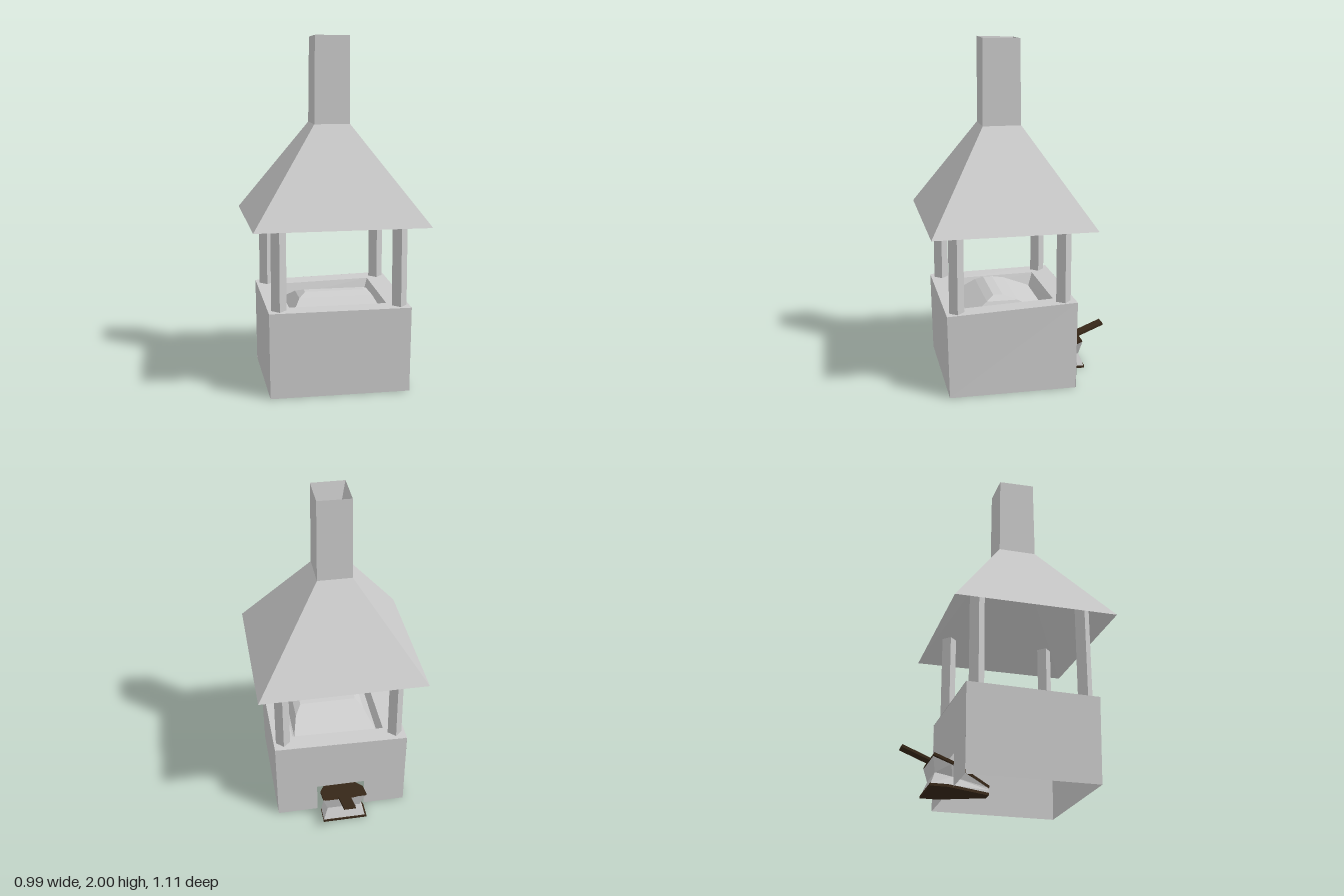
import * as THREE from 'three';

const grey = new THREE.MeshStandardMaterial({ color: 0xcccccc, flatShading: true, side: THREE.DoubleSide });
const wood = new THREE.MeshStandardMaterial({ color: 0x3a2a1a, flatShading: true, side: THREE.DoubleSide });

// Four corners: front left, front right, back right, back left (as seen from the front)
const rect = (x0, x1, zBack, zFront, yFront, yBackR = yFront, yBackL = yFront) => [
  [x0, yFront, zFront], [x1, yFront, zFront], [x1, yBackR, zBack], [x0, yBackL, zBack],
];

// Faceted skin through a list of rings with equal point counts
function loft(rings, closed = true) {
  const pos = [];
  for (let r = 0; r < rings.length - 1; r++) {
    const a = rings[r], b = rings[r + 1], n = a.length;
    for (let i = 0; i < (closed ? n : n - 1); i++) {
      const j = (i + 1) % n;
      pos.push(...a[i], ...a[j], ...b[j], ...a[i], ...b[j], ...b[i]);
    }
  }
  const geo = new THREE.BufferGeometry();
  geo.setAttribute('position', new THREE.Float32BufferAttribute(pos, 3));
  geo.computeVertexNormals();
  return geo;
}

const point = (x, y, z, n = 4) => Array.from({ length: n }, () => [x, y, z]);

function shapeOf(points) {
  return new THREE.Shape(points.map(([x, y]) => new THREE.Vector2(x, y)));
}

// Thin horizontal board; the outline's y runs towards the back
function board(points) {
  const geo = new THREE.ExtrudeGeometry(shapeOf(points), { depth: 0.015, bevelEnabled: false });
  return geo.rotateX(-Math.PI / 2);
}

export function createModel() {
  const group = new THREE.Group();
  const add = (name, geo, mat = grey, parent = group) => {
    const mesh = new THREE.Mesh(geo, mat);
    mesh.name = name;
    parent.add(mesh);
    return mesh;
  };

  // Hearth: three plain walls, open underneath
  const bottom = rect(-0.4, 0.395, -0.283, 0.455, 0);
  const top = rect(-0.405, 0.4, -0.288, 0.465, 0.49, 0.522, 0.502);
  const fromBack = ([fl, fr, br, bl]) => [bl, fl, fr, br];
  add('hearthWalls', loft([fromBack(bottom), fromBack(top)], false));

  // Back wall with a notch for the bellows
  add('hearthBackWall', new THREE.ShapeGeometry(shapeOf([
    [-0.4, 0], [-0.145, 0], [-0.145, 0.185], [0.15, 0.185],
    [0.15, 0], [0.395, 0], [0.4, 0.522], [-0.405, 0.502],
  ])).rotateY(0).translate(0, 0, -0.286));

  // Rim and sloping fire pit
  add('hearthRimAndPit', loft([
    top,
    rect(-0.28, 0.28, -0.17, 0.35, 0.492, 0.515, 0.5),
    rect(-0.25, 0.25, -0.14, 0.32, 0.42),
    point(0, 0.42, 0.09),
  ]));

  // Low heap of fuel with a flat ridge
  add('fuelHeap', loft([
    rect(-0.26, 0.27, -0.14, 0.32, 0.425),
    rect(-0.2, 0.23, 0.03, 0.21, 0.505),
    rect(-0.16, 0.19, 0.11, 0.165, 0.53),
    point(0.02, 0.53, 0.14),
  ]));

  // Corner posts, set diagonally
  for (const x of [-0.343, 0.343]) {
    for (const z of [-0.217, 0.402]) {
      const post = add('post', new THREE.CylinderGeometry(0.043, 0.043, 0.6, 4));
      post.position.set(x, 0.775, z);
    }
  }

  // Hood flowing into the chimney, with a funnel inside its mouth
  const mouth = rect(-0.105, 0.093, -0.014, 0.2, 2, 1.995, 1.993);
  const neck = rect(-0.11, 0.095, -0.02, 0.203, 1.505);
  add('hood', loft([rect(-0.495, 0.49, -0.38, 0.553, 0.958), neck]));
  add('chimney', loft([neck, mouth]));
  add('chimneyFunnel', loft([mouth, point(-0.008, 1.55, 0.11)]));

  // Bellows: two tapered boards and a pinched skin between them
  const bellows = new THREE.Group();
  bellows.name = 'bellows';
  bellows.position.z = -0.06;
  group.add(bellows);

  add('lowerBoard', board([[-0.03, 0], [0.03, 0], [0.13, 0.25], [0.13, 0.35], [-0.138, 0.35], [-0.138, 0.25]]),
    wood, bellows);

  const upper = add('upperBoardWithHandle', board([
    [-0.03, 0], [0.03, 0], [0.13, 0.25], [0.13, 0.36], [0.035, 0.36],
    [0.03, 0.53], [-0.04, 0.53], [-0.035, 0.36], [-0.138, 0.36], [-0.138, 0.25],
  ]), wood, bellows);
  upper.position.y = 0.04;
  upper.rotation.x = 0.37;

  // Trapezoid ring of the skin: nozzle end first, then the wide back end
  const fold = (w, yNozzle, yBack, zBack) => [
    [-0.03, yNozzle, 0], [0.03, yNozzle, 0],
    [w, yBack * 0.7 + yNozzle * 0.3, zBack * 0.7], [w, yBack, zBack],
    [-w, yBack, zBack], [-w, yBack * 0.7 + yNozzle * 0.3, zBack * 0.7],
  ];
  add('bellowsSkin', loft([
    fold(0.128, 0.015, 0.015, -0.345),
    fold(0.1, 0.03, 0.085, -0.318),
    fold(0.128, 0.042, 0.165, -0.335),
  ]), grey, bellows);

  return group;
}
